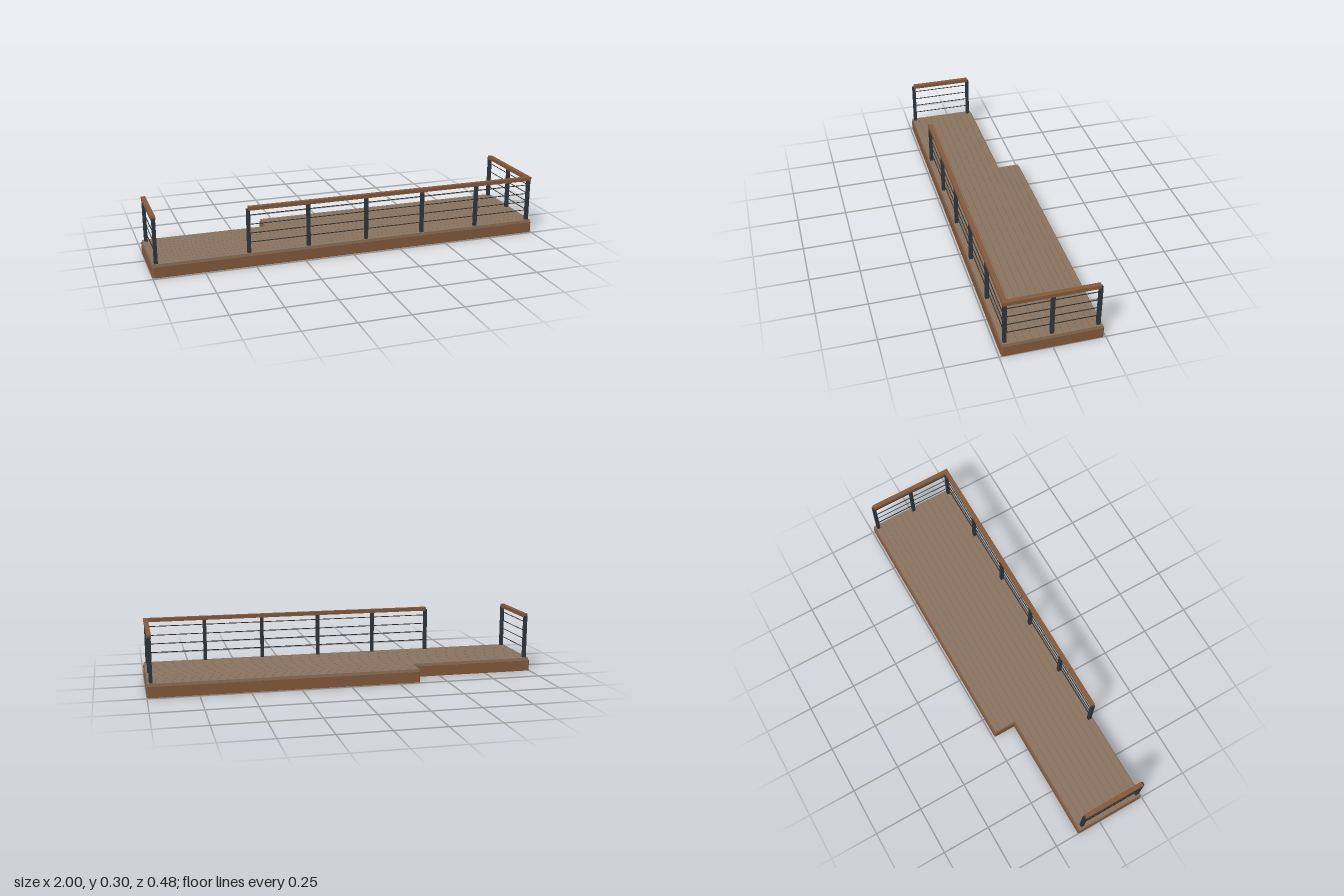
import * as THREE from 'three';

const mat = (name, color) => Object.assign(new THREE.MeshStandardMaterial({ color }), { name });

export function createModel() {
  const timber = mat('timber brown', 0x865b3c);
  const decking = mat('weathered decking', 0x8a7460);
  const steel = mat('dark steel', 0x2e383f);
  const cableMat = mat('cable steel', 0x2a3230);
  const deck = new THREE.Group();
  deck.name = 'deck';

  // Box given by its minimum and maximum corners
  const box = (parent, name, material, a, b) => {
    const m = new THREE.Mesh(new THREE.BoxGeometry(b[0] - a[0], b[1] - a[1], b[2] - a[2]), material);
    m.position.set((a[0] + b[0]) / 2, (a[1] + b[1]) / 2, (a[2] + b[2]) / 2);
    m.name = name;
    parent.add(m);
    return m;
  };

  // L-shaped rim of beams with chamfered corners, open underneath (plan drawn in x, -z)
  const frameH = 0.055, beam = 0.045, c = 0.005, stepX = -0.36, backZ = 0.125;
  const outline = new THREE.Shape([
    [-1 + c, -0.24], [1 - c, -0.24], [1, -0.24 + c], [1, 0.24 - c], [1 - c, 0.24],
    [stepX + c, 0.24], [stepX, 0.24 - c], [stepX, backZ], [-1 + c, backZ], [-1, backZ - c], [-1, -0.24 + c],
  ].map(([x, y]) => new THREE.Vector2(x, y)));
  const opening = (x0, y0, x1, y1) => outline.holes.push(new THREE.Path([
    new THREE.Vector2(x0, y0), new THREE.Vector2(x0, y1), new THREE.Vector2(x1, y1), new THREE.Vector2(x1, y0),
  ]));
  opening(-1 + beam, -0.24 + beam, 1 - beam, backZ - beam);
  opening(stepX + beam, backZ, 1 - beam, 0.24 - beam);
  const frame = new THREE.Mesh(
    new THREE.ExtrudeGeometry(outline, { depth: frameH, bevelEnabled: false }).rotateX(-Math.PI / 2), timber);
  frame.name = 'frame';
  deck.add(frame);

  // Deck boards, with narrow gaps between them
  const boards = new THREE.Group();
  boards.name = 'boards';
  deck.add(boards);
  const layBoards = (name, count, zFront, zBack, x0, x1) => {
    const pitch = (zFront - zBack) / count;
    for (let i = 0; i < count; i++) {
      const z = zFront - i * pitch;
      box(boards, name, decking, [x0, frameH, z - pitch + 0.002], [x1, 0.068, z]);
    }
  };
  layBoards('mainBoard', 10, 0.235, -0.119, -0.996, 0.996);
  layBoards('extensionBoard', 4, -0.119, -0.234, stepX + 0.004, 0.996);

  // A straight railing: posts, handrail and four cables
  const postHalf = 0.0085, railHalf = 0.011;
  const addPost = (parent, x, z) => box(parent, 'post', steel,
    [x - postHalf, 0.06, z - postHalf], [x + postHalf, 0.29, z + postHalf]);
  const addRun = (name, [x0, z0], [x1, z1], posts, extend = 0) => {
    const run = new THREE.Group();
    run.name = name;
    deck.add(run);
    posts.forEach(([x, z]) => addPost(run, x, z));
    const alongX = z0 === z1;
    const ox = alongX ? 0 : railHalf, oz = alongX ? railHalf : 0;
    box(run, 'handrail', timber, [x0 - ox, 0.283, z0 - oz], [x1 + ox + extend, 0.302, z1 + oz]);
    const length = alongX ? x1 - x0 : z1 - z0;
    for (const y of [0.12, 0.166, 0.211, 0.258]) {
      const geo = new THREE.CylinderGeometry(0.0022, 0.0022, length, 8);
      if (alongX) geo.rotateZ(Math.PI / 2); else geo.rotateX(Math.PI / 2);
      const cable = new THREE.Mesh(geo, cableMat);
      cable.position.set((x0 + x1) / 2, y, (z0 + z1) / 2);
      cable.name = 'cable';
      run.add(cable);
    }
  };
  const front = 0.221, side = 0.979, start = -0.528;
  const frontPosts = [];
  for (let i = 0; i < 6; i++) frontPosts.push([start + (side - start) * i / 5, front]);
  addRun('frontRailing', [start, front], [side, front], frontPosts, railHalf);
  addRun('leftRailing', [side, -0.217], [side, front], [[side, -0.217], [side, 0.002]]);
  addRun('rightRailing', [-side, -0.097], [-side, front], [[-side, -0.097], [-side, front]]);

  return deck;
}
